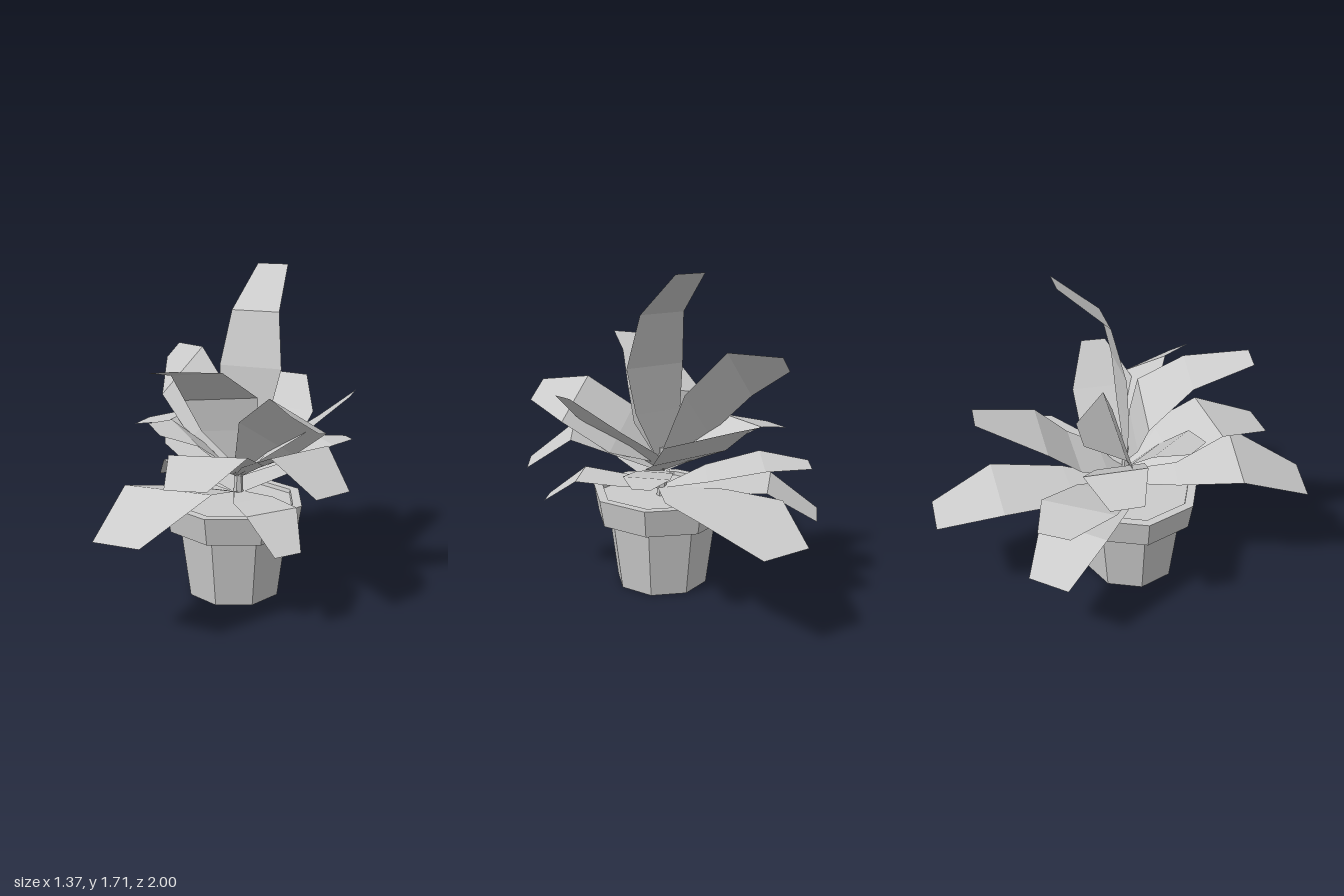
import * as THREE from 'three';

const potMaterial = new THREE.MeshStandardMaterial({ color: 0xcccccc, flatShading: true });
const leafMaterial = new THREE.MeshStandardMaterial({ color: 0xcccccc, flatShading: true, side: THREE.DoubleSide });

const STEM_X = 0.01;
const STEM_Z = 0.04;
const rad = THREE.MathUtils.degToRad;

// Folded leaf growing from the stem at height joint.
// heading: compass direction in degrees, 0 = front, 90 = the plant's left
// turn, roll: yaw and tilt of the blade's width
// shift: sideways offset of the blade, reached gradually from the stem
// neck: width of the inner section relative to the first blade section
// blade: cross-sections [reach, height, width] from the widest part to the tip
function makeLeaf(joint, { name, heading, turn = 0, roll = 0, shift = 0, neck = 0.8, blade }) {
  const [reach, height, width] = blade[0];
  const inner = [reach * 0.45, THREE.MathUtils.lerp(joint, height, 0.52), width * neck];
  const sections = [[0, joint, 0.05], inner, ...blade];

  const h = rad(heading);
  const yaw = rad(heading + turn);
  const tilt = rad(roll);
  const across = new THREE.Vector3(Math.cos(yaw) * Math.cos(tilt), Math.sin(tilt), -Math.sin(yaw) * Math.cos(tilt));

  const points = [];
  const index = [];
  sections.forEach(([r, y, w], i) => {
    const s = shift * Math.min(i / 2, 1);
    const centre = new THREE.Vector3(
      STEM_X + r * Math.sin(h) + s * Math.cos(h), y, STEM_Z + r * Math.cos(h) - s * Math.sin(h));
    points.push(centre.clone().addScaledVector(across, -w / 2), centre.clone().addScaledVector(across, w / 2));
    if (i > 0) {
      const k = 2 * i;
      index.push(k - 2, k - 1, k, k - 1, k + 1, k);
    }
  });

  const indexed = new THREE.BufferGeometry().setFromPoints(points);
  indexed.setIndex(index);
  const geometry = indexed.toNonIndexed();
  geometry.computeVertexNormals();
  const mesh = new THREE.Mesh(geometry, leafMaterial);
  mesh.name = name;
  return mesh;
}

// Ring of leaves sharing one height on the stem
function makeTier(name, joint, leaves) {
  const tier = new THREE.Group();
  tier.name = name;
  leaves.forEach((leaf) => tier.add(makeLeaf(joint, leaf)));
  return tier;
}

// Eight-sided turned part
function makeLathe(name, profile) {
  const points = profile.map(([r, y]) => new THREE.Vector2(r, y));
  const geometry = new THREE.LatheGeometry(points, 8).toNonIndexed();
  geometry.computeVertexNormals();
  const mesh = new THREE.Mesh(geometry, potMaterial);
  mesh.name = name;
  mesh.position.set(-0.005, 0, 0.068);
  return mesh;
}

export function createModel() {
  const group = new THREE.Group();
  group.name = 'pottedPlant';

  // Pot with an overhanging rim, and the soil inside
  group.add(makeLathe('pot', [[0, 0], [0.248, 0], [0.297, 0.37], [0.355, 0.37], [0.38, 0.515], [0.33, 0.515], [0.325, 0.49]]));
  group.add(makeLathe('soil', [[0.328, 0.495], [0, 0.495]]));

  // Stem
  const stem = new THREE.Mesh(new THREE.CylinderGeometry(0.018, 0.028, 0.28, 6), potMaterial);
  stem.name = 'stem';
  stem.position.set(STEM_X, 0.62, STEM_Z);
  group.add(stem);

  // Drooping leaves over the rim
  group.add(makeTier('lowerLeaves', 0.54, [
    { name: 'backLowerLeaf', heading: 181, roll: 1, neck: 0.73, blade: [[0.7, 0.61, 0.51], [1.04, 0.5, 0.265]] },
    { name: 'frontLowerLeaf', heading: -13, turn: 4, roll: 4, neck: 0.63, blade: [[0.59, 0.707, 0.51], [0.965, 0.54, 0.27]] },
    { name: 'leftFrontLowerLeaf', heading: 43, turn: 8, blade: [[0.46, 0.575, 0.285], [0.663, 0.425, 0.145]] },
    { name: 'rightBackLowerLeaf', heading: -131, blade: [[0.573, 0.59, 0.38], [0.83, 0.425, 0.224]] },
    { name: 'rightBackMiddleLeaf', heading: -130, turn: 7, blade: [[0.535, 0.705, 0.4], [0.785, 0.695, 0.17]] },
  ]));

  // Spreading leaves
  group.add(makeTier('middleLeaves', 0.63, [
    { name: 'frontMiddleLeaf', heading: 4, roll: 3, neck: 1, blade: [[0.47, 0.862, 0.405], [0.77, 0.78, 0.21]] },
    { name: 'leftFrontMiddleLeaf', heading: 62, turn: -2, blade: [[0.47, 0.86, 0.373], [0.703, 0.695, 0.215]] },
    { name: 'leftSideLeaf', heading: 94, roll: 3, neck: 1.08, blade: [[0.38, 0.93, 0.37], [0.6, 1.115, 0.14]] },
    { name: 'leftBackLeaf', heading: 140, turn: -5, blade: [[0.53, 0.755, 0.236], [0.695, 0.75, 0.09]] },
    { name: 'backMiddleLeaf', heading: 178.5, roll: 2, blade: [[0.28, 0.77, 0.44], [0.45, 0.91, 0.505], [0.79, 1.037, 0.18]] },
    { name: 'rightSideLeaf', heading: -90, shift: -0.155, blade: [[0.413, 0.885, 0.33], [0.65, 0.83, 0.17]] },
    { name: 'rightFrontLeaf', heading: -50, turn: 6, roll: -7, blade: [[0.287, 0.885, 0.4], [0.45, 0.915, 0.18]] },
  ]));

  // Rising leaves at the crown
  group.add(makeTier('upperLeaves', 0.69, [
    { name: 'uprightLeaf', heading: 180, shift: -0.055, blade: [[0.025, 1.21, 0.34], [0.095, 1.49, 0.26], [0.35, 1.71, 0.17]] },
    { name: 'frontUpperLeaf', heading: -7, shift: -0.062, roll: 8, blade: [[0.08, 1.05, 0.44], [0.31, 1.22, 0.3], [0.632, 1.285, 0.138]] },
    { name: 'leftFrontUpperLeaf', heading: 25.6, turn: 8, shift: 0.27, roll: -33, neck: 1, blade: [[0.362, 1.035, 0.345], [0.617, 1.055, 0.16]] },
    { name: 'rightBackUpperLeaf', heading: -143, turn: -20, shift: 0.222, roll: -50, neck: 0.95, blade: [[0.359, 1.135, 0.35], [0.612, 1.207, 0.11]] },
  ]));

  return group;
}
